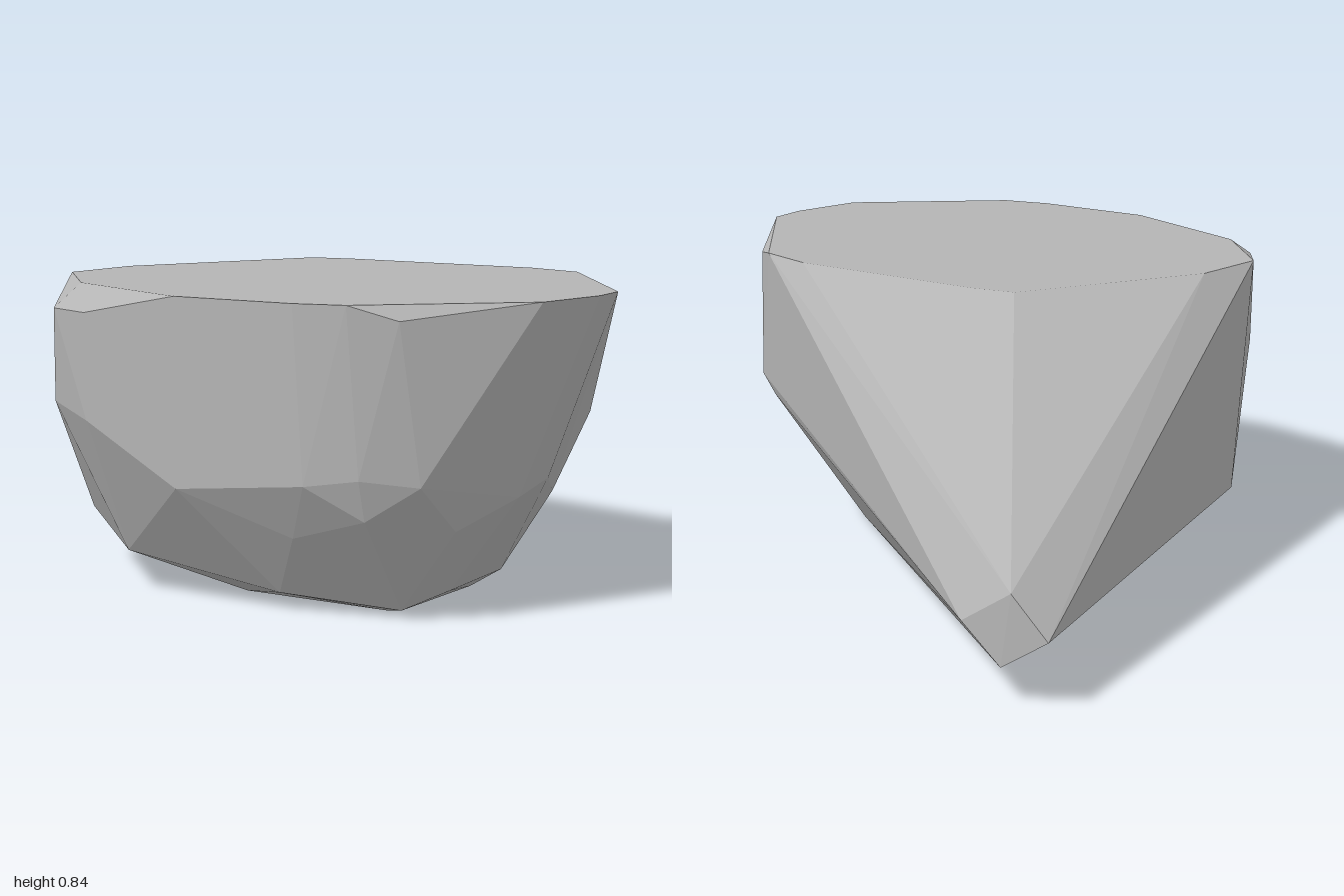
import * as THREE from 'three';
import { ConvexGeometry } from 'three/addons/geometries/ConvexGeometry.js';

const rockGrey = new THREE.MeshStandardMaterial({ color: 0xb4b4b4 });
rockGrey.name = 'rock grey';

// flat top, listed as x, z at one height
const topY = 0.84;
const topRim = [
  [-0.64, 0.58], [-0.43, 0.82], [0, 1], [0.36, 1], [0.5, 0.97], [0.89, 0.65], [0.945, 0.43],
  [0.94, 0.31], [0.6, -0.15], [0.43, -0.2], [-0.17, -0.2], [-0.3, -0.18], [-0.61, 0.34],
];

// chipped corners just below the rim
const chips = [[-0.44, 0.78, 0.93], [-0.3, 0.78, 0.985], [0.62, 0.8, 0.91], [0.69, 0.82, -0.07]];

// belt where the steep walls turn under
const belt = [
  [-0.47, 0.52, 0.89], [-0.3, 0.49, 0.98], [0, 0.335, 1], [0.39, 0.375, 1], [0.53, 0.395, 0.96],
  [0.66, 0.375, 0.87], [0.78, 0.315, 0.56], [0.8, 0.35, 0.43], [0.7, 0.27, 0.2],
  [0.67, 0.45, -0.1], [0.6, 0.4, -0.13], [0.62, 0.34, -0.05],
];

// rounded underside
const underside = [
  [0.53, 0.285, 0.93], [0.61, 0.235, 0.82], [0.68, 0.24, 0.72], [0.31, 0.22, 0.92],
  [-0.62, 0.155, 0.52], [-0.29, 0.11, 0.81], [0.2, 0.045, 0.81], [0.53, 0.02, 0.74],
  [0.6, 0.055, 0.6], [0.6, 0.06, 0.31], [0.62, 0.2, 0.13],
  [-0.36, 0, 0.3], [0, 0, 0.66], [0.45, 0, 0.68], [0.5, 0, 0.3], [0.4, 0, 0.05], [-0.06, 0, -0.28],
];

// blunt tail end
const tail = [[-0.945, 0.19, -0.99], [-0.81, 0.1, -1], [-0.69, 0.2, -1], [-0.84, 0.3, -1]];

export function createModel() {
  const group = new THREE.Group();
  group.name = 'rock';
  const points = [
    ...topRim.map(([x, z]) => [x, topY, z]), ...chips, ...belt, ...underside, ...tail,
  ].map((p) => new THREE.Vector3(...p));
  const boulder = new THREE.Mesh(new ConvexGeometry(points), rockGrey);
  boulder.name = 'boulder';
  group.add(boulder);
  return group;
}
